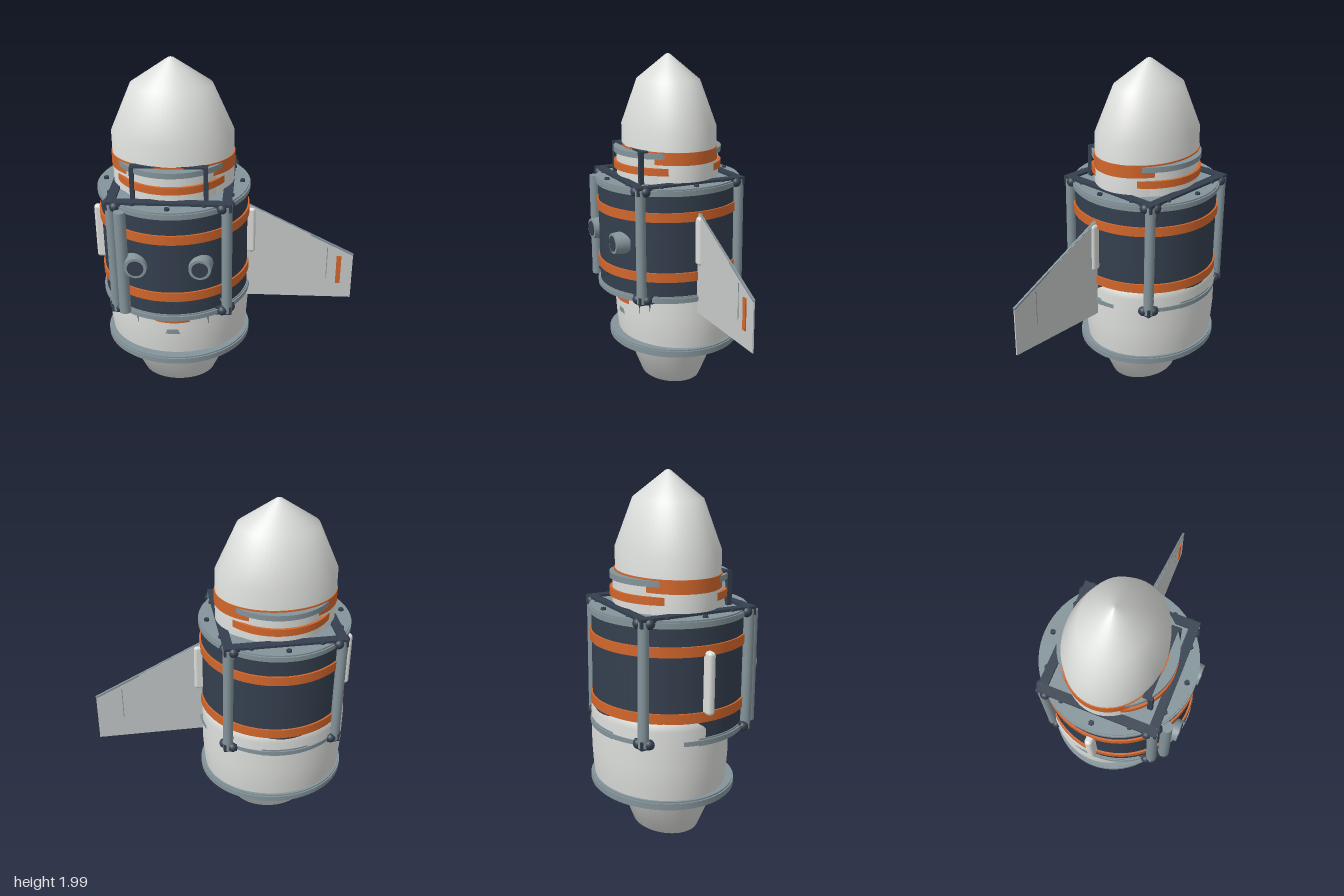
import * as THREE from 'three';
import { RoundedBoxGeometry } from 'three/addons/geometries/RoundedBoxGeometry.js';

export function createModel() {
  const material = (name, color) => {
    const m = new THREE.MeshStandardMaterial({ color });
    m.name = name;
    return m;
  };
  const white = material('hull white', 0xdcdedb);
  const grey = material('metal grey', 0x84949a);
  const navy = material('dark navy', 0x343f4e);
  const orange = material('trim orange', 0xd2662b);
  const pale = material('fin grey', 0xc6cac9);

  const root = new THREE.Group();
  const capsule = new THREE.Group(); // everything on the main axis
  capsule.name = 'capsule';
  capsule.position.x = -0.275;
  root.add(capsule);

  const add = (name, geometry, mat, x = 0, y = 0, z = 0, parent = capsule) => {
    const mesh = new THREE.Mesh(geometry, mat);
    mesh.name = name;
    mesh.position.set(x, y, z);
    parent.add(mesh);
    return mesh;
  };
  const drum = (name, r, y0, y1, mat, sz = 1, z = 0) => {
    const m = add(name, new THREE.CylinderGeometry(r, r, y1 - y0, 64), mat, 0, (y0 + y1) / 2, z);
    m.scale.z = sz;
    return m;
  };
  // rounded flange with flat faces
  const flange = (name, r, y0, y1, sz = 1, z = 0) => {
    const b = 0.008;
    drum(name, r - b, y0, y1, grey, sz, z);
    drum(name + 'Rim', r, y0 + b, y1 - b, grey, sz, z);
  };
  const lathe = (name, pts, mat, sz, z) => {
    const g = new THREE.LatheGeometry(pts.map(p => new THREE.Vector2(...p)), 64);
    const m = add(name, g, mat, 0, 0, z);
    m.scale.z = sz;
    return m;
  };
  const box = (name, w, h, d, mat, x, y, z, parent) =>
    add(name, new THREE.BoxGeometry(w, h, d), mat, x, y, z, parent);

  // Nose and tail, oval in plan
  lathe('nose', [[0.325, 1.31], [0.325, 1.61], [0.215, 1.86], [0.016, 1.995], [0, 2]], white, 0.785, -0.008);
  lathe('tail', [[0, 0.01], [0.016, 0.015], [0.21, 0.1], [0.325, 0.345]], white, 0.8, -0.01);
  drum('noseBand', 0.33, 1.43, 1.5, orange, 0.79, -0.008);

  // Collar under the nose
  drum('collar', 0.29, 1.32, 1.48, white);
  drum('collarOrangeRing', 0.305, 1.372, 1.412, orange);
  drum('collarGreyRing', 0.305, 1.462, 1.492, grey);

  // Main barrel with bands
  drum('barrel', 0.4, 0.69, 1.31, navy);
  drum('lowerBand', 0.41, 0.8, 0.852, orange);
  drum('upperBand', 0.41, 1.14, 1.192, orange);
  flange('topFlange', 0.414, 1.282, 1.322);
  flange('middleFlange', 0.414, 0.675, 0.715);

  // Lower hull, set slightly back so that it shows through the barrel's rear
  lathe('lowerHull', [[0.385, 0.36], [0.397, 0.45], [0.404, 0.55], [0.404, 0.76], [0.395, 0.81], [0.36, 0.84]],
    white, 0.875, -0.05);
  flange('bottomFlange', 0.414, 0.342, 0.388, 0.915, -0.033);

  // Bolts round the top flange
  for (let i = 0; i < 12; i++) {
    const a = i * Math.PI / 6;
    add('flangeBolt', new THREE.CylinderGeometry(0.014, 0.016, 0.016, 6), navy,
      Math.sin(a) * 0.37, 1.326, Math.cos(a) * 0.37);
  }

  // Square frames and corner pillars
  for (const y of [0.695, 1.312]) {
    for (const s of [-1, 1]) {
      box('frameBeam', 0.65, 0.046, 0.05, navy, 0, y, s * 0.3);
      box('frameBeam', 0.05, 0.046, 0.65, navy, s * 0.3, y, 0);
    }
  }
  for (const sx of [-1, 1]) {
    for (const sz of [-1, 1]) {
      add('pillar', new THREE.CylinderGeometry(0.028, 0.028, 0.64, 20), grey, sx * 0.3, 1.0, sz * 0.3);
      for (const y of [0.695, 1.308]) {
        add('pillarJoint', new THREE.SphereGeometry(0.028, 16, 10), navy, sx * 0.275, y, sz * 0.315);
        add('pillarJoint', new THREE.SphereGeometry(0.028, 16, 10), navy, sx * 0.315, y, sz * 0.275);
        const brace = add('jointBrace', new THREE.ConeGeometry(0.018, 0.07, 8), grey,
          sx * 0.28, y + (y > 1 ? -0.04 : 0.05), sz * 0.31);
        brace.rotation.z = sx * 0.6;
      }
    }
  }
  add('frontPipe', new THREE.CylinderGeometry(0.031, 0.031, 0.6, 20), grey, -0.245, 1.0, 0.355);

  // Posts and crossbar against the collar
  for (const s of [-1, 1]) {
    box('noseSupportPost', 0.022, 0.18, 0.026, navy, s * 0.19, 1.41, 0.245);
  }
  box('noseSupportBar', 0.4, 0.016, 0.04, navy, 0, 1.494, 0.225);

  // Portholes
  for (const x of [-0.17, 0.165]) {
    const rim = add('portholeRim', new THREE.CylinderGeometry(0.058, 0.066, 0.08, 32), grey, x, 1.0, 0.371);
    rim.rotation.x = Math.PI / 2;
    const glass = add('portholeGlass', new THREE.CylinderGeometry(0.043, 0.043, 0.006, 32), navy, x, 1.0, 0.412);
    glass.rotation.x = Math.PI / 2;
  }

  // Side mounts
  add('rightMount', new RoundedBoxGeometry(0.09, 0.325, 0.042, 3, 0.018), white, -0.405, 1.003, 0);
  add('leftMount', new RoundedBoxGeometry(0.09, 0.275, 0.042, 3, 0.018), white, 0.4, 1.03, 0);

  // Chin thruster at the front
  const chin = new THREE.Group();
  chin.name = 'chinThruster';
  chin.position.z = 0.21;
  chin.scale.z = 0.65;
  capsule.add(chin);
  add('chinBowl', new THREE.CylinderGeometry(0.19, 0.1, 0.065, 32), navy, 0, 0.638, 0.01, chin);
  add('chinOrangeRing', new THREE.CylinderGeometry(0.16, 0.16, 0.04, 32), orange, 0, 0.618, 0, chin);
  add('chinCollar', new THREE.CylinderGeometry(0.135, 0.135, 0.07, 32), grey, 0, 0.575, 0, chin);
  add('chinLowerRing', new THREE.CylinderGeometry(0.145, 0.145, 0.03, 32), grey, 0, 0.535, 0, chin);
  box('chinLatch', 0.13, 0.012, 0.02, navy, 0, 0.795, 0.402);
  box('chinLatchStem', 0.02, 0.04, 0.02, navy, 0, 0.785, 0.396);
  for (const s of [-1, 1]) {
    for (const [x, z, h] of [[0.195, 0.27, 0.11], [0.27, 0.24, 0.08]]) {
      const spike = add('hangingSpike', new THREE.ConeGeometry(0.008, h, 6), navy, s * x, 0.68 - h / 2, z);
      spike.rotation.x = Math.PI;
    }
  }

  // Fin, tapering in thickness toward the tip
  const outline = new THREE.Shape([[0.1, 0.61], [0.72, 0.605], [0.72, 0.885], [0.1, 1.2]]
    .map(p => new THREE.Vector2(...p)));
  const finGeometry = new THREE.ExtrudeGeometry(outline, { depth: 0.018, bevelEnabled: false });
  finGeometry.translate(0, 0, -0.009);
  const p = finGeometry.attributes.position;
  for (let i = 0; i < p.count; i++) if (p.getX(i) > 0.5) p.setZ(i, p.getZ(i) * 0.45);
  finGeometry.computeVertexNormals();
  add('fin', finGeometry, pale, 0, 0, 0, root);
  const edge = box('finLeadingEdge', 0.675, 0.01, 0.012, grey, 0.42, 1.035, 0, root);
  edge.rotation.z = Math.atan2(-0.315, 0.62);
  box('finSeam', 0.004, 0.2, 0.014, grey, 0.575, 0.83, 0, root);
  box('finSeam', 0.004, 0.26, 0.022, grey, 0.15, 1.02, 0, root);
  box('finMarker', 0.026, 0.175, 0.009, orange, 0.642, 0.788, 0.0075, root);

  return root;
}
